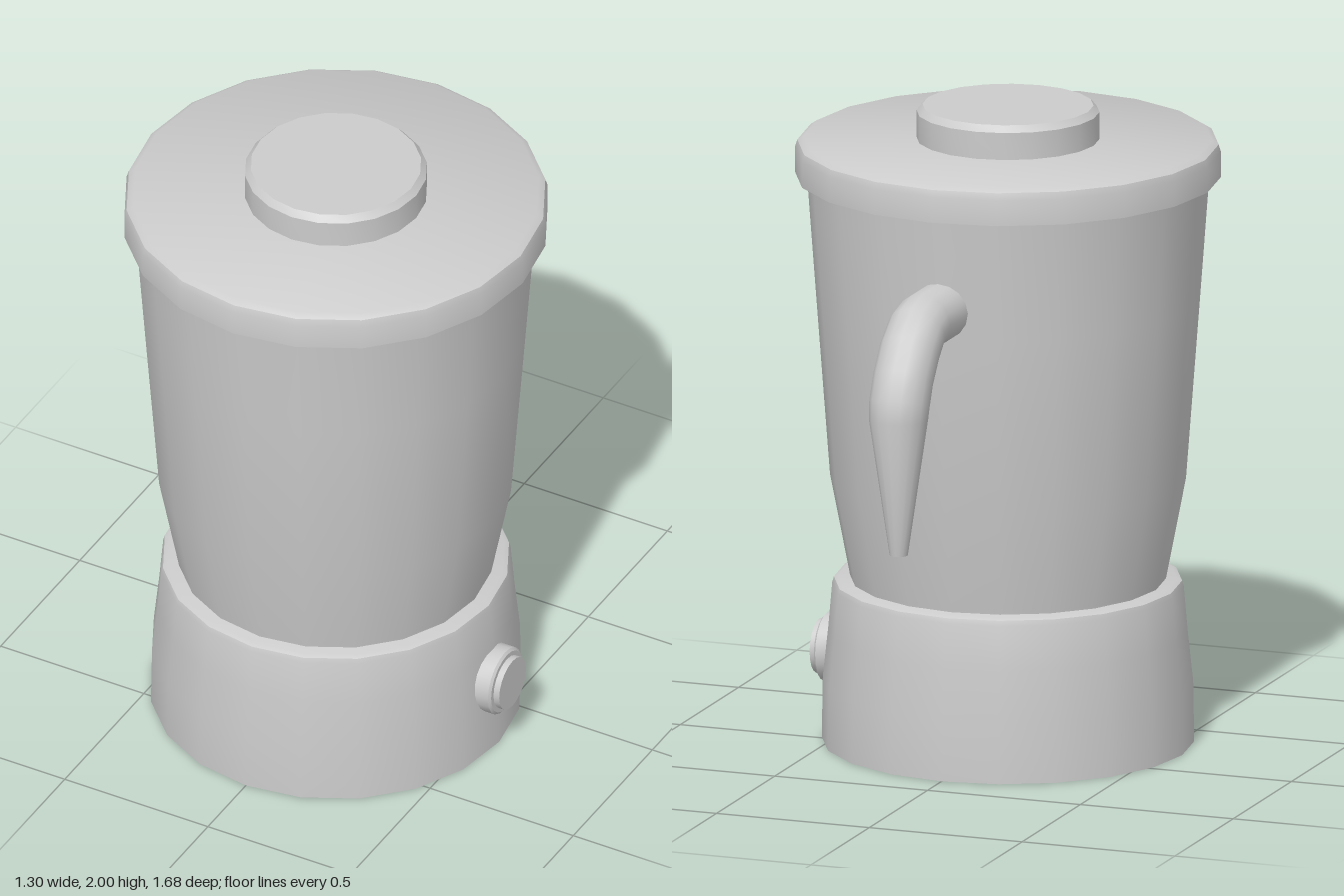
import * as THREE from 'three';
import { toCreasedNormals } from 'three/addons/utils/BufferGeometryUtils.js';

const material = new THREE.MeshStandardMaterial({ color: 0xcccccc, side: THREE.DoubleSide });

function addMesh(parent, name, geometry) {
  const mesh = new THREE.Mesh(toCreasedNormals(geometry, 0.6), material);
  mesh.name = name;
  parent.add(mesh);
  return mesh;
}

// Turned part from [radius, height] pairs, listed bottom to top
function turned(parent, name, profile, sides = 20) {
  const points = profile.map(([r, y]) => new THREE.Vector2(r, y));
  return addMesh(parent, name, new THREE.LatheGeometry(points, sides));
}

// Tapered tube in the x = 0 plane from [z, y, radius] stations, capped at both ends
function taperedTube(stations, sides) {
  const centers = stations.map(([z, y]) => new THREE.Vector3(0, y, z));
  const positions = [];
  const index = [];
  const last = stations.length - 1;
  stations.forEach(([, , radius], i) => {
    const before = centers[Math.max(i - 1, 0)];
    const after = centers[Math.min(i + 1, last)];
    const tangent = after.clone().sub(before).normalize();
    if (i === last) tangent.set(0, -1, 0);
    const side = new THREE.Vector3(1, 0, 0);
    const normal = new THREE.Vector3().crossVectors(tangent, side);
    for (let j = 0; j < sides; j++) {
      const a = (j / sides) * Math.PI * 2;
      const p = centers[i].clone()
        .addScaledVector(side, Math.cos(a) * radius)
        .addScaledVector(normal, Math.sin(a) * radius);
      positions.push(p.x, p.y, p.z);
    }
  });
  for (let i = 0; i < last; i++) {
    for (let j = 0; j < sides; j++) {
      const a = i * sides + j;
      const b = i * sides + ((j + 1) % sides);
      index.push(a, b, b + sides, a, b + sides, a + sides);
    }
  }
  for (let j = 1; j < sides - 1; j++) {
    const end = last * sides;
    index.push(0, j + 1, j, end, end + j, end + j + 1);
  }
  const geometry = new THREE.BufferGeometry();
  geometry.setAttribute('position', new THREE.Float32BufferAttribute(positions, 3));
  geometry.setIndex(index);
  return geometry;
}

export function createModel() {
  const model = new THREE.Group();
  model.name = 'blender';

  // Everything turned shares one axis, ahead of centre to leave room for the handle
  const body = new THREE.Group();
  body.name = 'body';
  body.position.z = 0.19;
  model.add(body);

  turned(body, 'motorBase', [
    [0, 0], [0.57, 0], [0.567, 0.19], [0.55, 0.35], [0.538, 0.49],
    [0.533, 0.506], [0.518, 0.513], [0, 0.513],
  ]);
  turned(body, 'jar', [
    [0, 0.505], [0.483, 0.505], [0.485, 0.52], [0.545, 0.83], [0.588, 1.4], [0.617, 1.79], [0, 1.79],
  ]);
  turned(body, 'lid', [
    [0, 1.78], [0.652, 1.78], [0.652, 1.86], [0.645, 1.882], [0.625, 1.895], [0, 1.895],
  ]);
  turned(body, 'lidCap', [
    [0, 1.88], [0.28, 1.88], [0.28, 1.98], [0.262, 2], [0, 2],
  ]);

  // Control knob on the left side, turned about x
  const knob = new THREE.Group();
  knob.name = 'controlKnob';
  knob.position.set(0.54, 0.24, 0);
  knob.rotation.z = -Math.PI / 2;
  body.add(knob);
  turned(knob, 'knobCollar', [
    [0, 0], [0.108, 0], [0.108, 0.05], [0.1, 0.057], [0, 0.057],
  ]);
  turned(knob, 'knobFace', [[0, 0.05], [0.085, 0.05], [0.085, 0.077], [0, 0.077]]);

  // Hooked handle at the back, tapering to its free end
  addMesh(model, 'handle', taperedTube([
    [-0.37, 1.485, 0.09], [-0.54, 1.485, 0.09], [-0.592, 1.472, 0.091],
    [-0.655, 1.42, 0.093], [-0.71, 1.345, 0.093], [-0.741, 1.275, 0.093],
    [-0.749, 1.23, 0.091], [-0.747, 0.8, 0.028],
  ], 16));

  return model;
}
